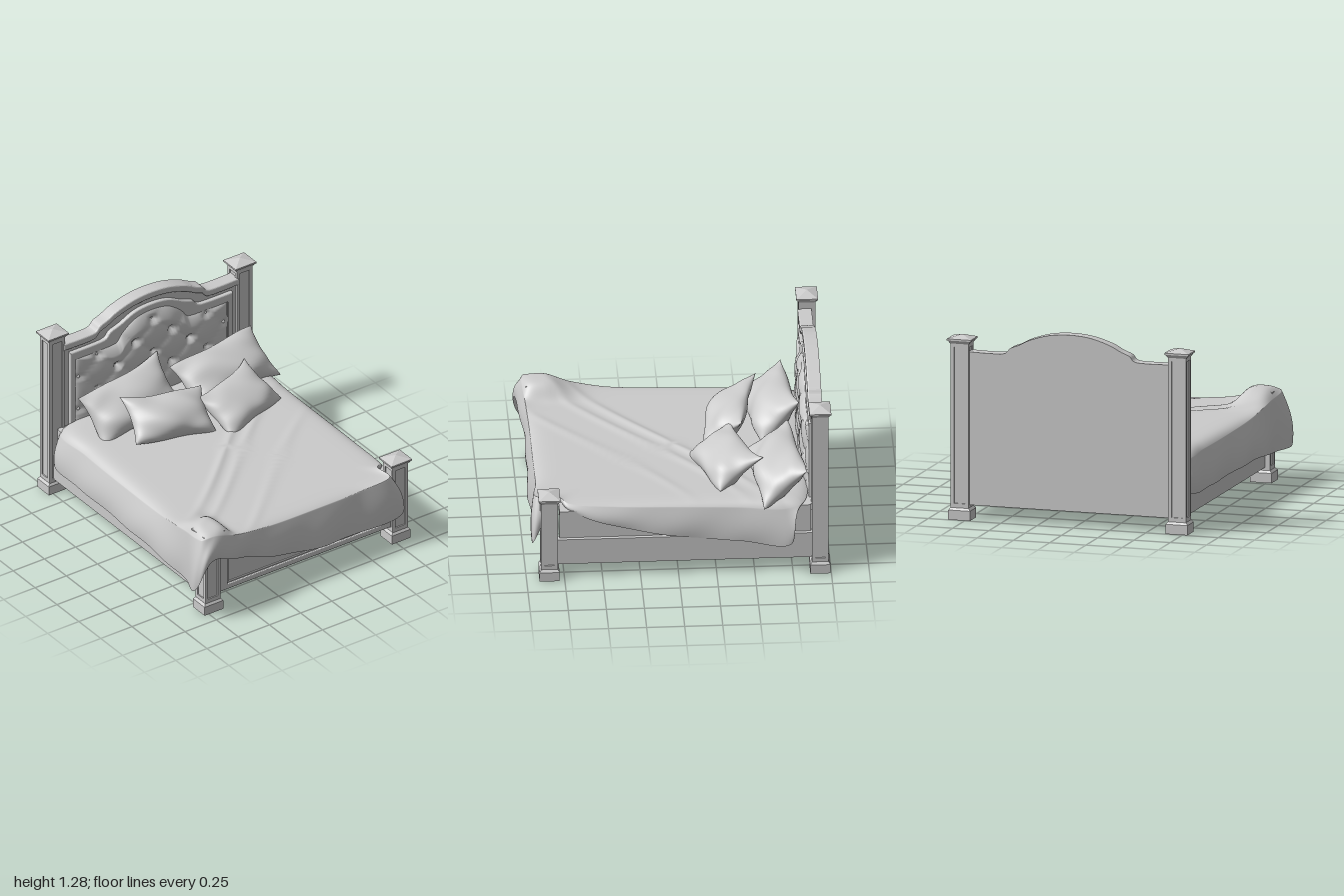
import * as THREE from 'three';
import { mergeVertices } from 'three/addons/utils/BufferGeometryUtils.js';
import { ParametricGeometry } from 'three/addons/geometries/ParametricGeometry.js';

const hard = new THREE.MeshStandardMaterial({ color: 0xcccccc, flatShading: true });
const soft = new THREE.MeshStandardMaterial({ color: 0xcccccc, side: THREE.DoubleSide });
const CX = 0.04; // middle of the frame
const V = (a) => new THREE.Vector3(...a);

function add(parent, name, geometry, material = hard) {
  const mesh = new THREE.Mesh(geometry, material);
  mesh.name = name;
  parent.add(mesh);
  return mesh;
}

// box from its lower and upper corners
function box(parent, name, a, b) {
  const g = new THREE.BoxGeometry(b[0] - a[0], b[1] - a[1], b[2] - a[2]);
  return add(parent, name, g.translate((a[0] + b[0]) / 2, (a[1] + b[1]) / 2, (a[2] + b[2]) / 2));
}

// four-sided block that tapers from the ratio bottom to the ratio top
function taper(parent, name, w, d, y0, y1, bottom, top) {
  const g = new THREE.CylinderGeometry(top * Math.SQRT1_2, bottom * Math.SQRT1_2, y1 - y0, 4);
  return add(parent, name, g.rotateY(Math.PI / 4).scale(w, 1, d).translate(0, (y0 + y1) / 2, 0));
}

// smooth surface from a rule (u, v) -> Vector3
function surface(rule, nu, nv) {
  const g = new ParametricGeometry((u, v, p) => p.copy(rule(u, v)), nu, nv);
  g.deleteAttribute('uv');
  g.deleteAttribute('normal');
  const merged = mergeVertices(g, 1e-5);
  merged.computeVertexNormals();
  return merged;
}

// symmetric arched line, left to right, from points of its right half
function crest(half) {
  const left = half.slice(1).reverse().map(([x, y]) => [-x, y]);
  const pts = [...left, ...half].map(([x, y]) => new THREE.Vector2(x + CX, y));
  return new THREE.SplineCurve(pts).getPoints(80);
}

// outline closed under a crest at the given bottom
function underCrest(line, bottom) {
  return [...line, new THREE.Vector2(line.at(-1).x, bottom), new THREE.Vector2(line[0].x, bottom)];
}

function slab(parent, name, outline, hole, z0, z1, bevel = 0) {
  const shape = new THREE.Shape(outline);
  if (hole) shape.holes.push(new THREE.Path(hole));
  const g = new THREE.ExtrudeGeometry(shape, {
    depth: z1 - z0 - 2 * bevel, bevelEnabled: bevel > 0, bevelSize: bevel,
    bevelThickness: bevel, bevelOffset: -bevel, bevelSegments: 3,
  });
  return add(parent, name, g.translate(0, 0, z0 + bevel));
}

function rect(x0, x1, y0, y1) {
  return [[x0, y0], [x1, y0], [x1, y1], [x0, y1]].map((p) => new THREE.Vector2(...p));
}

// square post: foot, panelled shaft, flared cap
function post(name, x, z, h) {
  const g = new THREE.Group();
  g.name = name;
  box(g, 'foot', [-0.075, 0, -0.066], [0.075, 0.065, 0.066]);
  taper(g, 'footSlope', 0.15, 0.132, 0.065, 0.082, 1, 0.82);
  box(g, 'shaftCore', [-0.053, 0.08, -0.047], [0.053, h - 0.05, 0.047]);
  for (const sx of [-1, 1]) for (const sz of [-1, 1]) {
    const stile = box(g, 'shaftStile', [-0.011, 0.08, -0.011], [0.011, h - 0.05, 0.011]);
    stile.position.set(sx * 0.05, 0, sz * 0.044);
  }
  for (const y of [0.08, h - 0.08]) box(g, 'shaftRail', [-0.061, y, -0.055], [0.061, y + 0.03, 0.055]);
  taper(g, 'capFlare', 0.166, 0.143, h - 0.06, h - 0.035, 0.74, 0.95);
  box(g, 'capPlate', [-0.083, h - 0.035, -0.0715], [0.083, h - 0.024, 0.0715]);
  taper(g, 'capTop', 0.166, 0.143, h - 0.024, h, 1, 0.06);
  g.position.set(x, 0, z);
  return g;
}

function headboard() {
  const g = new THREE.Group();
  g.name = 'headboard';
  const outer = crest([[0, 1.28], [0.14, 1.268], [0.27, 1.23], [0.35, 1.19], [0.41, 1.165], [0.45, 1.128], [0.55, 1.122], [0.7, 1.125]]);
  const frame = crest([[0, 1.19], [0.13, 1.175], [0.25, 1.12], [0.33, 1.09], [0.37, 1.05], [0.46, 1.04], [0.65, 1.04]]);
  const inner = crest([[0, 1.155], [0.13, 1.135], [0.235, 1.065], [0.27, 1.015], [0.31, 0.995], [0.45, 0.99], [0.62, 0.99]]);
  slab(g, 'headboardPanel', underCrest(outer, 0.1), null, -0.957, -0.89);
  const lower = outer.map((p) => new THREE.Vector2(p.x, p.y - 0.05)).reverse();
  slab(g, 'crownMoulding', [...outer, ...lower], null, -0.95, -0.866, 0.01);
  slab(g, 'panelMoulding', underCrest(frame, 0.38), underCrest(inner, 0.42), -0.91, -0.862, 0.01);
  // soft tufting: buttons sit where both diagonals are whole numbers
  const tuft = (u, v) => {
    const c = inner[Math.round(u * 80)];
    const y = 0.42 + (c.y - 0.42) * v;
    const dx = (c.x - CX) / 0.29, dy = (y - 1.08) / 0.25;
    const a = Math.abs(Math.sin(Math.PI * (dx + dy))), b = Math.abs(Math.sin(Math.PI * (dx - dy)));
    const edge = Math.min(1, 7 * Math.min(u, 1 - u, v, 1 - v));
    const puff = 0.015 * (a * b) ** 0.7 + 0.052 * Math.min(1, 1.5 * Math.hypot(a, b)) ** 0.7;
    return new THREE.Vector3(c.x, y, -0.885 + puff * Math.sqrt(edge));
  };
  add(g, 'tuftedPanel', surface(tuft, 80, 80), soft);
  for (let r = 0; r < 5; r++) for (let k = -2; k <= 2; k++) {
    const x = (k + (r % 2 ? 0.5 : 0)) * 0.29, y = 1.08 - r * 0.125;
    if (Math.abs(x) > 0.58 || (r === 0 && k !== 0)) continue;
    add(g, 'button', new THREE.SphereGeometry(0.011, 10, 6), soft).position.set(x + CX, y, -0.877);
  }
  return g;
}

// blanket control points: rim of the flat top, then the hem below it
const RIM = [
  [-0.7, 0.47, -0.85], [-0.74, 0.48, -0.5], [-0.76, 0.49, 0], [-0.775, 0.51, 0.4], [-0.8, 0.56, 0.7],
  [-0.81, 0.6, 0.92], [-0.72, 0.61, 0.945], [-0.52, 0.545, 0.93], [-0.25, 0.51, 0.92], [0.1, 0.505, 0.92],
  [0.45, 0.51, 0.92], [0.69, 0.545, 0.93], [0.69, 0.545, 0.79], [0.75, 0.52, 0.72], [0.78, 0.5, 0.4],
  [0.79, 0.49, 0], [0.8, 0.48, -0.4], [0.82, 0.47, -0.7], [0.78, 0.49, -0.82], [0, 0.5, -0.86],
];
const HEM = [
  [-0.75, 0.25, -0.84], [-0.785, 0.24, -0.5], [-0.81, 0.25, 0], [-0.83, 0.25, 0.4], [-0.83, 0.22, 0.76],
  [-0.885, 0.25, 0.95], [-0.78, 0.45, 0.99], [-0.53, 0.375, 0.95], [-0.25, 0.28, 0.94], [0.1, 0.22, 0.95],
  [0.45, 0.21, 0.94], [0.785, 0.25, 0.955], [0.7, 0.5, 0.78], [0.78, 0.47, 0.7], [0.815, 0.37, 0.4],
  [0.825, 0.29, 0], [0.835, 0.25, -0.4], [0.875, 0.235, -0.73], [0.81, 0.45, -0.77], [0, 0.45, -0.87],
];

function blanket() {
  const rim = new THREE.CatmullRomCurve3(RIM.map(V), true);
  const hem = new THREE.CatmullRomCurve3(HEM.map(V), true);
  // top height: raised over the covered corner post, with diagonal creases
  const top = (x, z) => {
    const d = (x + 1.3 * z + 0.08 * Math.sin(3 * x)) / 1.64;
    const crease = [0.02, 0.14, 0.42].reduce((s, c, i) => s + (0.012 - 0.002 * i) * Math.exp(-(((d - c) / 0.032) ** 2)), 0);
    const hump = Math.exp(-(((x + 0.71) / 0.14) ** 4)) * Math.exp(-((Math.max(0, 0.8 - z) / 0.17) ** 2));
    return 0.53 + 0.112 * hump + crease * Math.exp(-((x / 0.7) ** 4));
  };
  const rule = (u, v) => {
    const t = 1 - u;
    const p = rim.getPoint(t);
    if (v < 0.6) {
      const r = Math.sin((v / 0.6) * Math.PI / 2), y = p.y;
      p.set(CX + (p.x - CX) * r, 0, p.z * r);
      p.y = THREE.MathUtils.lerp(top(p.x, p.z), y, r ** 22);
      return p;
    }
    // the drop swings outward first, then hangs
    const k = (v - 0.6) / 0.4, y = p.y, h = hem.getPoint(t);
    p.lerp(h, Math.sin(k * Math.PI / 2));
    const out = 1 + Math.sin(Math.PI * k) * 0.006 + k * 0.006 * Math.sin(t * 110 + k * 2);
    return p.set(CX + (p.x - CX) * out, THREE.MathUtils.lerp(y, h.y, k), p.z * out);
  };
  return surface(rule, 240, 56);
}

// plump pillow, fuller toward its bottom, with pinched sides and pointed corners
function pillow(w, h, depth, seed) {
  return surface((u, v) => {
    const a = Math.sin((u - 0.5) * Math.PI), f = v * Math.PI * 2, b = -Math.cos(f);
    const x = w / 2 * a * (1 - 0.1 * (1 - b * b) * a * a);
    const y = h / 2 * b * (1 - 0.1 * (1 - a * a) * b * b);
    const wrinkle = 1 + 0.1 * Math.sin(5 * a + 3 * b + seed) + 0.07 * Math.sin(9 * a * b + seed * 2);
    const full = Math.sin(f) * (1 - 0.35 * b) * (1 - a * a) ** 0.5;
    return new THREE.Vector3(x, y + 0.03 * a * a * Math.sin(seed + 2 * a), depth / 2 * full * wrinkle);
  }, 40, 48);
}

export function createModel() {
  const bed = new THREE.Group();
  bed.name = 'bed';
  const L = 0.79, R = -0.71;
  bed.add(post('rearPostLeft', L, -0.928, 1.235), post('rearPostRight', R, -0.928, 1.235));
  bed.add(post('frontPostLeft', L, 0.85, 0.635), post('frontPostRight', R, 0.85, 0.635));
  bed.add(headboard());

  // footboard with a moulded frame
  box(bed, 'footboardPanel', [R, 0.115, 0.82], [L, 0.5, 0.865]);
  slab(bed, 'footboardFrame', rect(-0.65, 0.73, 0.115, 0.5), rect(-0.575, 0.655, 0.155, 0.47), 0.855, 0.885, 0.006);
  slab(bed, 'footboardMoulding', rect(-0.575, 0.655, 0.155, 0.47), rect(-0.565, 0.645, 0.165, 0.46), 0.855, 0.875, 0.003);

  // side rails and the mattress, hollow below
  for (const x of [L, R]) {
    const s = x > 0 ? 1 : -1;
    box(bed, 'sideRail', [x - 0.025, 0.1, -0.88], [x + 0.025, 0.283, 0.82]);
    box(bed, 'mattressSide', [x - s * 0.013 - 0.012, 0.26, -0.87], [x - s * 0.013 + 0.012, 0.48, 0.78]);
  }
  box(bed, 'mattress', [R + 0.01, 0.43, -0.88], [L - 0.02, 0.48, 0.78]);
  add(bed, 'blanket', blanket(), soft);

  // name, size, position, rotation
  const pillows = [
    ['backPillowRight', [0.7, 0.38, 0.24], [-0.27, 0.65, -0.67], [-0.7, 0.03, 0.06]],
    ['backPillowLeft', [0.72, 0.38, 0.24], [0.48, 0.62, -0.665], [-0.85, 0.1, 0.04]],
    ['frontPillowRight', [0.58, 0.34, 0.2], [-0.16, 0.645, -0.385], [-0.85, -0.12, -0.04]],
    ['frontPillowLeft', [0.56, 0.36, 0.19], [0.36, 0.61, -0.325], [-1.0, 0.28, 0.03]],
  ];
  pillows.forEach(([name, size, pos, rot], i) => {
    const mesh = add(bed, name, pillow(...size, i * 1.7), soft);
    mesh.position.set(...pos);
    mesh.rotation.set(...rot, 'YXZ');
  });
  return bed;
}
